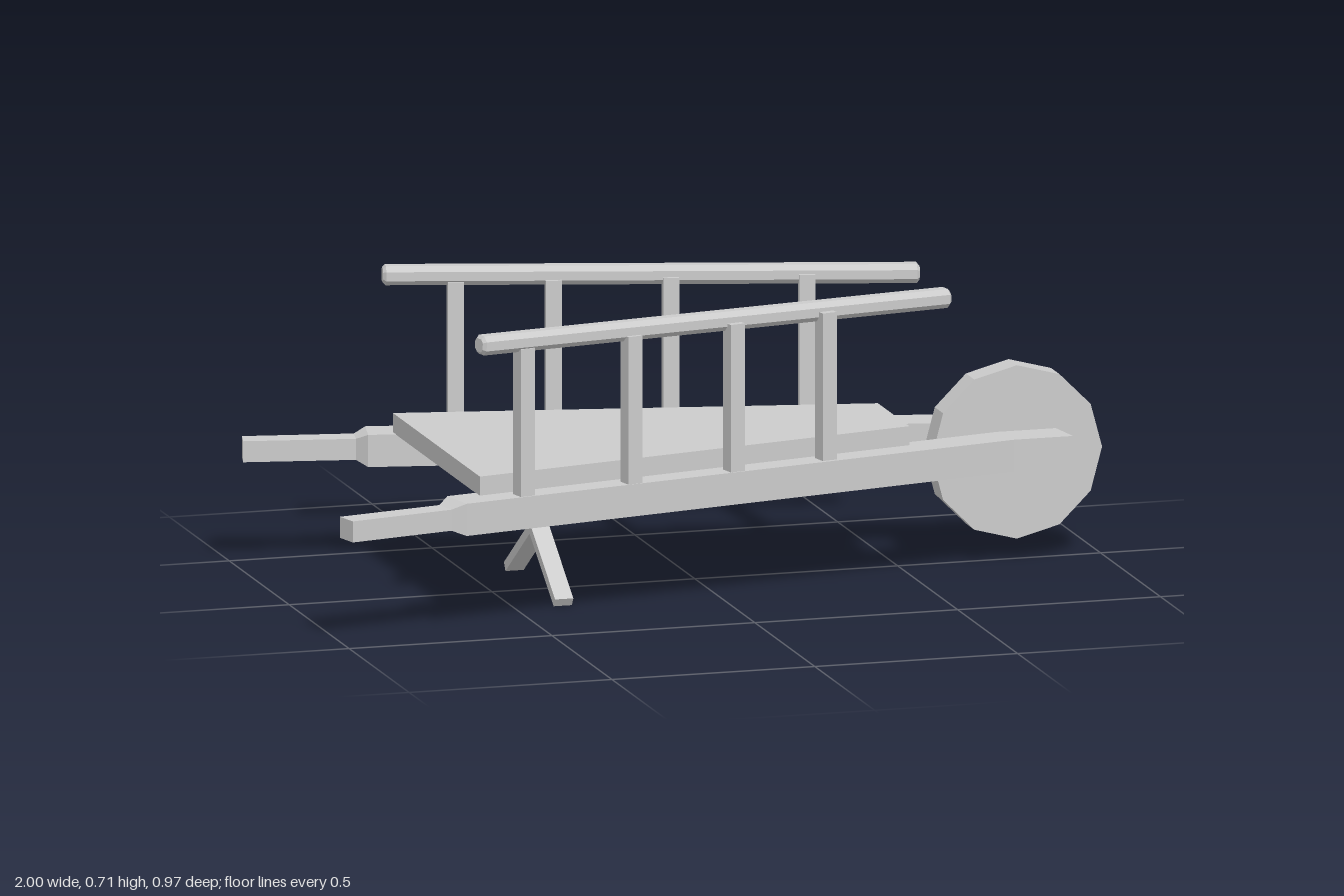
import * as THREE from 'three';

const material = new THREE.MeshStandardMaterial({ color: 0xcccccc, flatShading: true });

function addMesh(parent, geometry, name) {
  const mesh = new THREE.Mesh(geometry, material);
  mesh.name = name;
  parent.add(mesh);
  return mesh;
}

// Solid through four-cornered sections running along +x.
// Each section: [x, z] of the +z edge, [x, z] of the -z edge, bottom y, top y.
function loft(sections) {
  const rings = sections.map(([a, b, y0, y1]) => [
    [a[0], y1, a[1]], [b[0], y1, b[1]], [b[0], y0, b[1]], [a[0], y0, a[1]],
  ]);
  const pos = [];
  const quad = (a, b, c, d) => pos.push(...a, ...b, ...c, ...a, ...c, ...d);
  for (let i = 0; i + 1 < rings.length; i++) {
    const p = rings[i], q = rings[i + 1];
    for (let j = 0; j < 4; j++) {
      const k = (j + 1) % 4;
      quad(p[j], q[j], q[k], p[k]);
    }
  }
  const s = rings[0], e = rings[rings.length - 1];
  quad(s[0], s[1], s[2], s[3]);
  quad(e[3], e[2], e[1], e[0]);
  const geometry = new THREE.BufferGeometry();
  geometry.setAttribute('position', new THREE.Float32BufferAttribute(pos, 3));
  geometry.computeVertexNormals();
  return geometry;
}

// Chamfered bar between two points
function addRail(parent, from, to, name) {
  const w = 0.018, h = 0.016, c = 0.008, bevel = 0.007;
  const shape = new THREE.Shape([
    [w, -h + c], [w, h - c], [w - c, h], [-w + c, h],
    [-w, h - c], [-w, -h + c], [-w + c, -h], [w - c, -h],
  ].map(([x, y]) => new THREE.Vector2(x, y)));
  const a = new THREE.Vector3(...from), b = new THREE.Vector3(...to);
  const length = a.distanceTo(b);
  const geometry = new THREE.ExtrudeGeometry(shape, {
    depth: length - 2 * bevel, bevelEnabled: true,
    bevelSize: bevel, bevelThickness: bevel, bevelSegments: 1,
  });
  geometry.translate(0, 0, bevel);
  const rail = addMesh(parent, geometry, name);
  rail.position.copy(a);
  rail.lookAt(b);
}

export function createModel() {
  const model = new THREE.Group();
  model.name = 'wheelbarrow';

  // Side beams: handle, tapered neck, long beam, straight fork end
  const beamY = [0.24, 0.318], handleY = [0.253, 0.304];
  addMesh(model, loft([
    [[-0.985, 0.48], [-1, 0.422], ...handleY],
    [[-0.725, 0.423], [-0.738, 0.366], ...handleY],
    [[-0.69, 0.432], [-0.71, 0.338], ...beamY],
    [[0.75, 0.127], [0.735, 0.033], ...beamY],
    [[0.895, 0.127], [0.88, 0.033], ...beamY],
  ]), 'leftBeam');
  addMesh(model, loft([
    [[-0.985, -0.434], [-0.972, -0.489], ...handleY],
    [[-0.722, -0.384], [-0.71, -0.442], ...handleY],
    [[-0.7, -0.356], [-0.68, -0.449], ...beamY],
    [[0.71, -0.082], [0.725, -0.178], ...beamY],
    [[0.872, -0.082], [0.89, -0.178], ...beamY],
  ]), 'rightBeam');

  // Tapered tray board
  addMesh(model, loft([
    [[-0.635, 0.355], [-0.635, -0.37], 0.317, 0.364],
    [[0.495, 0.114], [0.495, -0.148], 0.317, 0.364],
  ]), 'trayBoard');

  // Ladder sides: chamfered top rail on four posts
  const sides = [
    { name: 'left', from: [-0.65, 0.692, 0.398], to: [0.595, 0.666, 0.094], angle: 0.22,
      posts: [[-0.532, 0.375], [-0.25, 0.317], [0.02, 0.258], [0.264, 0.2]] },
    { name: 'right', from: [-0.65, 0.692, -0.408], to: [0.606, 0.667, -0.18], angle: -0.19,
      posts: [[-0.482, -0.368], [-0.255, -0.32], [0.02, -0.271], [0.338, -0.212]] },
  ];
  for (const { name, from, to, angle, posts } of sides) {
    const side = new THREE.Group();
    side.name = name + 'Side';
    model.add(side);
    addRail(side, from, to, name + 'Rail');
    for (const [x, z] of posts) {
      const post = addMesh(side, new THREE.BoxGeometry(0.038, 0.395, 0.038), name + 'Post');
      post.position.set(x, 0.4775, z);
      post.rotation.y = angle;
    }
  }

  // Twelve-sided wheel on a thin axle
  const wheel = addMesh(model, new THREE.CylinderGeometry(0.21, 0.21, 0.07, 12), 'wheel');
  wheel.rotation.x = Math.PI / 2;
  wheel.position.set(0.787, 0.264, -0.012);
  const axle = addMesh(model, new THREE.CylinderGeometry(0.008, 0.008, 0.14, 8), 'axle');
  axle.rotation.x = Math.PI / 2;
  axle.position.set(0.795, 0.278, -0.023);

  // Support: central stem with two splayed feet
  const support = new THREE.Group();
  support.name = 'support';
  support.position.set(-0.383, 0, -0.007);
  model.add(support);
  addMesh(support, new THREE.BoxGeometry(0.045, 0.18, 0.025), 'supportStem').position.y = 0.235;
  for (const s of [-1, 1]) {
    const foot = addMesh(support, new THREE.BoxGeometry(0.045, 0.023, 0.25), 'supportFoot');
    foot.position.set(0, 0.08, s * 0.103);
    foot.rotation.x = s * 0.585;
  }
  return model;
}
